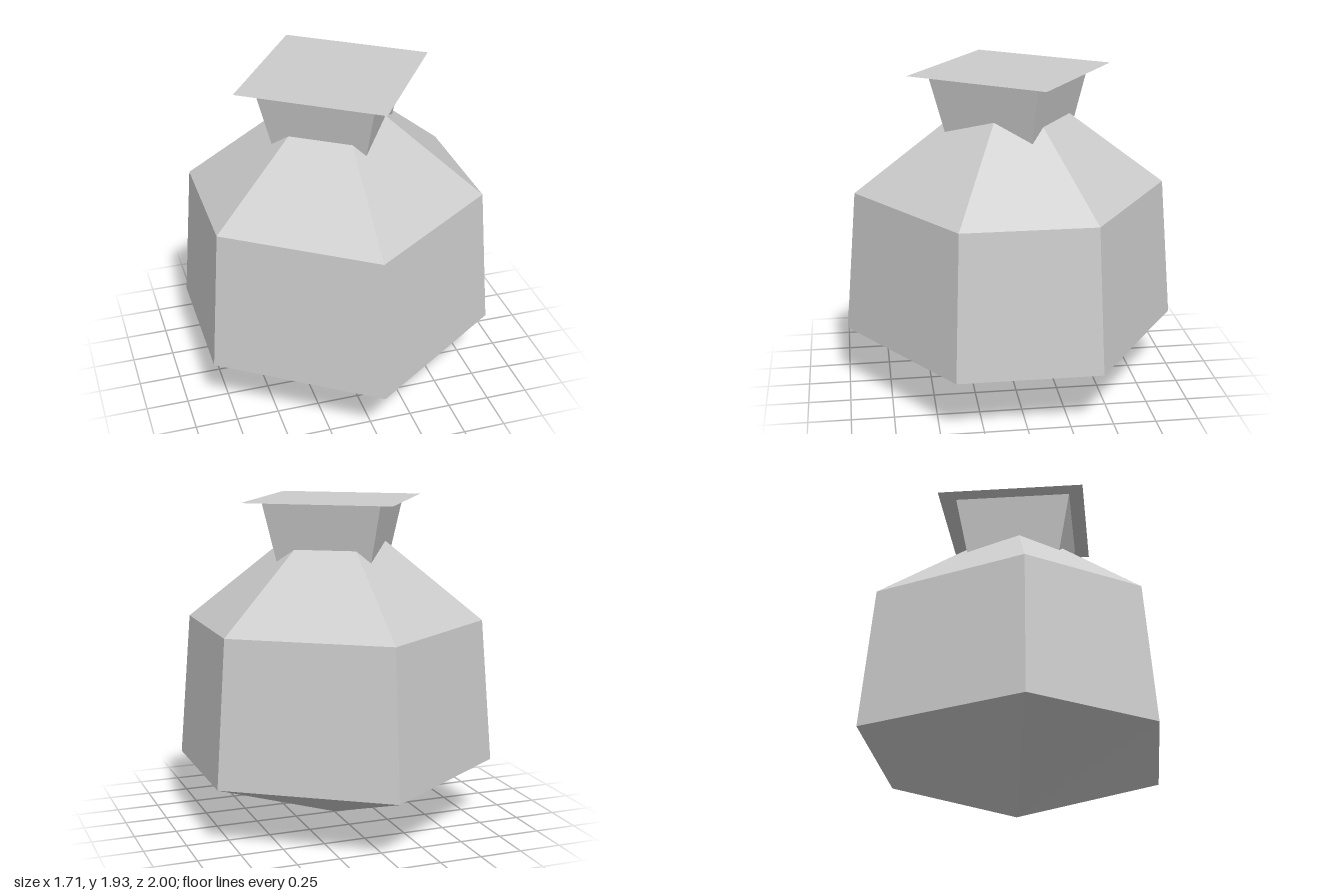
import * as THREE from 'three';

// Hexagon and square outlines as [x, z], counter-clockwise seen from above
const HEX = [[0, 1], [0.855, 0.415], [0.855, -0.415], [0, -1], [-0.855, -0.415], [-0.855, 0.415]];
const NECK = [[0.087, 0.485], [0.475, -0.09], [-0.095, -0.475], [-0.485, 0.098]];
const LID = [[0.111, 0.608], [0.608, -0.113], [-0.111, -0.608], [-0.608, 0.118]];

// Faceted skin through scaled copies of an outline; levels are [y, scale], bottom to top
function loft(outline, levels) {
  const pos = [];
  const point = (i, [y, s]) => {
    const [x, z] = outline[i % outline.length];
    return [x * s, y, z * s];
  };
  for (let l = 0; l < levels.length - 1; l++) {
    const low = levels[l], high = levels[l + 1];
    for (let i = 0; i < outline.length; i++) {
      const a = point(i, low), b = point(i + 1, low);
      const c = point(i + 1, high), d = point(i, high);
      if (low[1] > 0) pos.push(...a, ...b, ...c);
      if (high[1] > 0) pos.push(...a, ...c, ...d);
    }
  }
  // A single level with scale 0 at the same height closes a flat face
  const geometry = new THREE.BufferGeometry();
  geometry.setAttribute('position', new THREE.Float32BufferAttribute(pos, 3));
  geometry.computeVertexNormals();
  return geometry;
}

export function createModel() {
  const group = new THREE.Group();
  const grey = new THREE.MeshStandardMaterial({ color: 0xcccccc, flatShading: true, side: THREE.DoubleSide });
  grey.name = 'plain grey';

  const add = (name, geometry) => {
    const mesh = new THREE.Mesh(geometry, grey);
    mesh.name = name;
    group.add(mesh);
  };

  // Pointed base, tapering wall and shoulder rising to a point under the lid
  add('base', loft(HEX, [[0, 0], [0.365, 1]]));
  add('wall', loft(HEX, [[0.365, 1], [1.22, 0.925]]));
  add('shoulder', loft(HEX, [[1.22, 0.925], [1.928, 0]]));

  // Flared square neck sunk into the shoulder, with a wider flat lid
  add('neck', loft(NECK, [[1.4, 0.703], [1.93, 1]]));
  add('lid', loft(LID, [[1.932, 1], [1.932, 0]]));

  return group;
}
